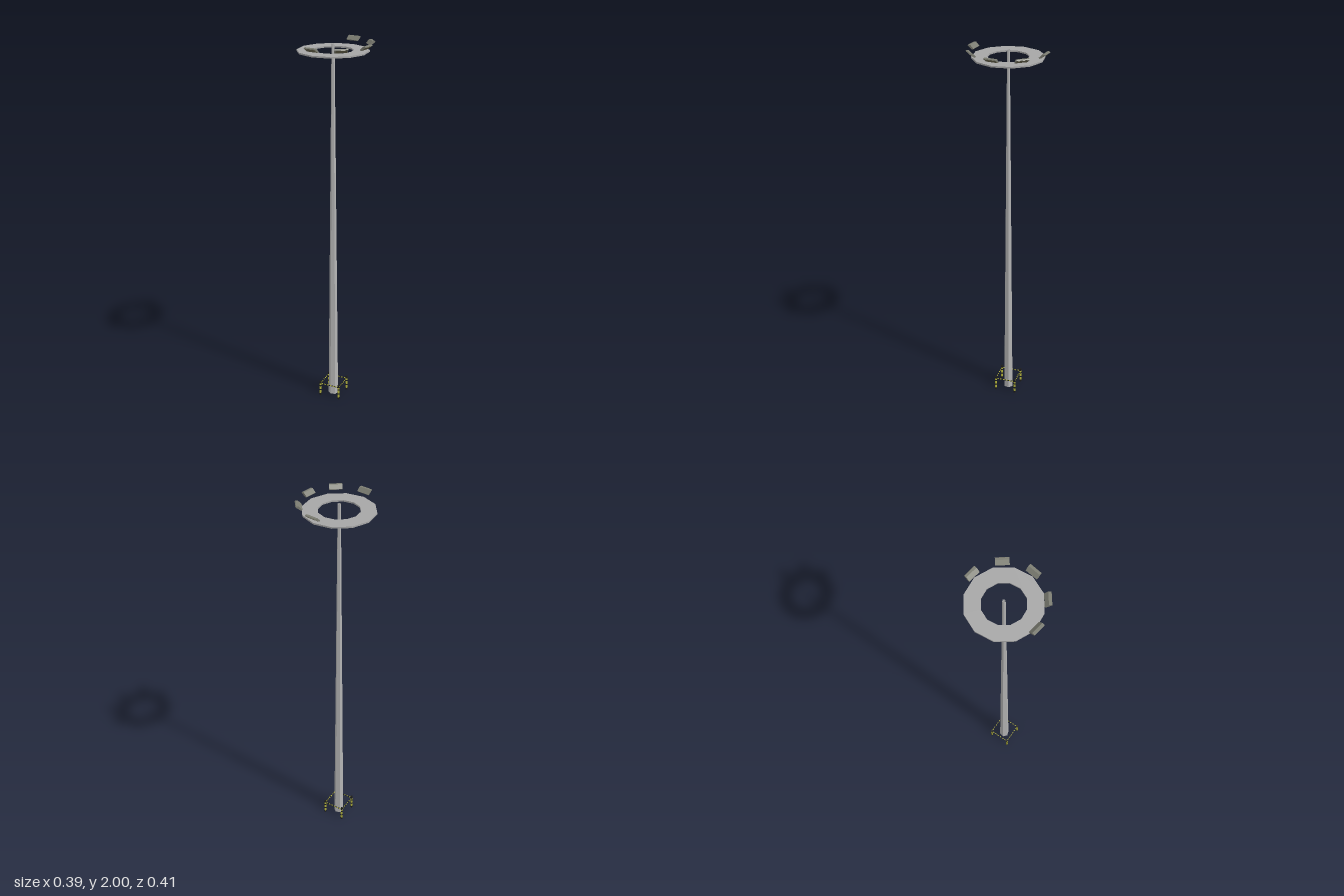
import * as THREE from 'three';

const CX = -0.014, CZ = -0.003;
const rad = THREE.MathUtils.degToRad;

function material(name, color, side = THREE.FrontSide) {
  const m = new THREE.MeshStandardMaterial({ color, side, flatShading: true });
  m.name = name;
  return m;
}

function add(parent, name, geometry, mat, x = 0, y = 0, z = 0) {
  const mesh = new THREE.Mesh(geometry, mat);
  mesh.name = name;
  mesh.position.set(x, y, z);
  parent.add(mesh);
  return mesh;
}

function polygon(radius, sides, start) {
  return Array.from({ length: sides }, (_, i) => {
    const a = start + (i / sides) * Math.PI * 2;
    return new THREE.Vector2(Math.cos(a) * radius, Math.sin(a) * radius);
  });
}

export function createModel() {
  const root = new THREE.Group();
  root.name = 'floodlightMast';
  const poleGrey = material('poleGrey', 0xb4b4b4, THREE.DoubleSide);
  const ringGrey = material('ringGrey', 0xa6a6a6);
  const housingGrey = material('housingGrey', 0x7c7d72);
  const lensOlive = material('lensOlive', 0x66624c);
  const black = material('barrierBlack', 0x1c1c1a);
  const yellow = material('barrierYellow', 0xb5b53c);

  // Hollow tapered six-sided pole
  const pole = new THREE.CylinderGeometry(0.008, 0.027, 1.99, 6, 1, true);
  pole.rotateY(rad(93));
  add(root, 'pole', pole, poleGrey, CX, 0.995, CZ);

  // Flat twelve-sided ring near the top
  const ringShape = new THREE.Shape(polygon(0.182, 12, rad(-5)));
  ringShape.holes.push(new THREE.Path(polygon(0.104, 12, rad(-5))));
  const ring = new THREE.ExtrudeGeometry(ringShape, { depth: 0.008, bevelEnabled: false });
  ring.rotateX(Math.PI / 2);
  add(root, 'ring', ring, ringGrey, CX, 1.96, CZ);

  // Lamp housing profile: outward and height, leaning outward at the top
  const profile = [[-0.016, 1.982], [-0.010, 1.977], [0.017, 1.996], [0.014, 2.0], [0.002, 2.0]];
  const housing = new THREE.ExtrudeGeometry(
    new THREE.Shape(profile.map(p => new THREE.Vector2(...p))),
    { depth: 0.065, bevelEnabled: false }
  );
  housing.translate(0, 0, -0.0325);
  const slope = Math.atan2(0.019, 0.027);
  const lensGeometry = new THREE.BoxGeometry(0.026, 0.002, 0.056);

  // Five lamps at 45 degree steps, the remaining three places are empty
  for (let i = 0; i < 5; i++) {
    const a = rad(-66.3 + i * 45);
    const lamp = new THREE.Group();
    lamp.name = 'lamp';
    lamp.position.set(CX + Math.cos(a) * 0.191, 0, CZ + Math.sin(a) * 0.191);
    lamp.rotation.y = -a;
    add(lamp, 'lampHousing', housing, housingGrey);
    add(lamp, 'lampLens', lensGeometry, lensOlive, 0.0035, 1.9865, 0).rotation.z = slope;
    root.add(lamp);
  }

  // Square barrier around the foot
  const barrier = new THREE.Group();
  barrier.name = 'barrier';
  barrier.position.set(-0.0125, 0, -0.002);
  barrier.rotation.y = rad(-15.4);
  root.add(barrier);
  const half = 0.0565, steps = 13;
  const bands = [0, 0.012, 0.03, 0.038, 0.056, 0.064, 0.074, 0.087];
  const bandGeometries = bands.slice(1).map((top, i) =>
    new THREE.CylinderGeometry(0.006, 0.006, top - bands[i], 8));
  const stripe = new THREE.BoxGeometry(2 * half / steps, 0.004, 0.004);

  for (let i = 0; i < 4; i++) {
    const side = new THREE.Group();
    side.name = 'barrierSide';
    side.rotation.y = i * Math.PI / 2;
    barrier.add(side);
    // Banded corner post
    bandGeometries.forEach((g, j) =>
      add(side, 'postBand', g, j % 2 ? yellow : black, -half, (bands[j] + bands[j + 1]) / 2, half));
    // Striped rail
    for (let j = 0; j < steps; j++) {
      const x = -half + (j + 0.5) * 2 * half / steps;
      add(side, 'railStripe', stripe, j % 2 ? yellow : black, x, 0.073, half);
    }
  }
  return root;
}
